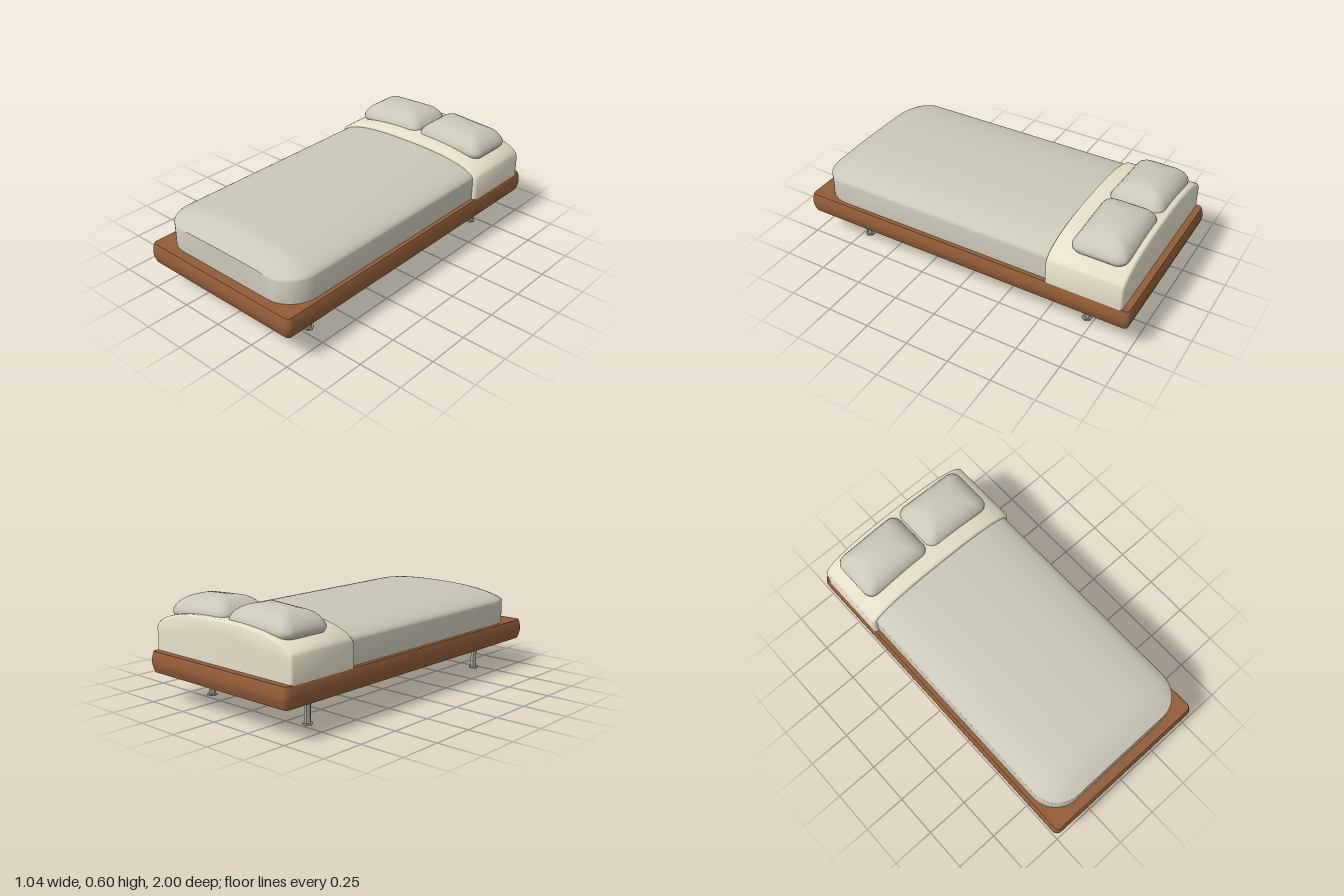
import * as THREE from 'three';
import { toCreasedNormals } from 'three/addons/utils/BufferGeometryUtils.js';

const material = (color) => new THREE.MeshStandardMaterial({ color });

// Skin a stack of equal-length point loops and cap both ends
function loft(rings, crease = 0.6) {
  const n = rings[0].length, last = (rings.length - 1) * n;
  const points = rings.flat();
  const index = [];
  for (let i = 0; i < rings.length - 1; i++) {
    for (let j = 0; j < n; j++) {
      const a = i * n + j, b = i * n + (j + 1) % n;
      index.push(a, a + n, b + n, a, b + n, b);
    }
  }
  const centre = (ring) => ring
    .reduce((s, p) => s.add(p), new THREE.Vector3()).divideScalar(n);
  points.push(centre(rings[0]), centre(rings[rings.length - 1]));
  for (let j = 0; j < n; j++) {
    const k = (j + 1) % n;
    index.push(points.length - 2, j, k, points.length - 1, last + k, last + j);
  }
  const geometry = new THREE.BufferGeometry().setFromPoints(points);
  geometry.setIndex(index);
  return toCreasedNormals(geometry, crease);
}

// Horizontal rounded rectangle at height y
function roundedLoop(hw, hd, r, y, seg = 5) {
  const loop = [];
  [[1, 1], [-1, 1], [-1, -1], [1, -1]].forEach(([sx, sz], q) => {
    for (let i = 0; i <= seg; i++) {
      const a = (q + i / seg) * Math.PI / 2;
      loop.push(new THREE.Vector3(
        sx * (hw - r) + r * Math.cos(a), y, sz * (hd - r) + r * Math.sin(a)));
    }
  });
  return loop;
}

// Upright section with straight sides and a domed top
function archSection(z, hw, bottom, edge, crown, seg = 32) {
  const loop = [new THREE.Vector3(-hw, bottom, z)];
  for (let i = 0; i <= seg; i++) {
    const u = -Math.cos(Math.PI * i / seg);
    const rise = Math.pow(Math.max(0, 1 - Math.pow(Math.abs(u), 2.5)), 0.55);
    loop.push(new THREE.Vector3(hw * u, edge + (crown - edge) * rise, z));
  }
  loop.push(new THREE.Vector3(hw, bottom, z));
  return loop;
}

// Bulging platform
function baseGeometry() {
  const profile = [[0.015, 0.162], [0.007, 0.184], [0.001, 0.206],
    [0, 0.222], [0.002, 0.24], [0.006, 0.26], [0.012, 0.276]];
  return loft(profile.map(([d, y]) => roundedLoop(0.518 - d, 1 - d, 0.035 - d, y)));
}

// Blanket with rounded foot corners and a sloping foot end
function blanketGeometry() {
  const r = 0.17, start = 0.765;
  const rings = [archSection(-0.6, 0.483, 0.27, 0.405, 0.49)];
  for (let i = 0; i <= 10; i++) {
    const a = (i / 10) * Math.PI / 2;
    const t = Math.sin(a);
    const crown = 0.415 + 0.075 * Math.sin((1 - t) * Math.PI / 2);
    rings.push(archSection(start + r * t, 0.483 - r * (1 - Math.cos(a)), 0.27, 0.405, crown));
  }
  return loft(rings);
}

// Folded sheet with softened ends
function sheetGeometry() {
  const ends = [[0, 0.012], [0.004, 0.004], [0.012, 0]];
  const section = (z, d) => archSection(z, 0.507 - d, 0.27, 0.4 - d, 0.512 - d);
  return loft([
    ...ends.map(([s, d]) => section(-0.952 + s, d)),
    ...ends.slice().reverse().map(([s, d]) => section(-0.522 - s, d)),
  ], 0.8);
}

// Cushion: flat below the seam, domed above it
function pillowGeometry() {
  const profile = [[0.03, -0.035], [0.01, -0.03], [0.001, -0.014], [0, -0.003],
    [0.004, 0.015], [0.014, 0.036], [0.028, 0.056], [0.045, 0.07],
    [0.07, 0.08], [0.1, 0.086], [0.13, 0.089], [0.15, 0.09]];
  return loft(profile.map(([d, y]) => {
    const loop = roundedLoop(0.217 - d, 0.153 - d, Math.max(0.055 - d * 0.4, 0.002), y, 6);
    if (d > 0.14) loop.forEach((p) => { p.z *= 0.5; });
    // bow the upper side down towards the ends
    loop.forEach((p) => { p.y -= 0.5 * p.x * p.x * THREE.MathUtils.clamp(y / 0.07, 0, 1); });
    return loop;
  }), 0.9);
}

export function createModel() {
  const bed = new THREE.Group();
  bed.name = 'bed';
  const wood = material(0x935d38);
  const linen = material(0xcbc7b8);
  const cream = material(0xe6dfca);
  const metal = material(0xaaa59c);

  const add = (parent, name, geometry, mat) => {
    const mesh = new THREE.Mesh(geometry, mat);
    mesh.name = name;
    parent.add(mesh);
    return mesh;
  };

  add(bed, 'base', baseGeometry(), wood);
  add(bed, 'blanket', blanketGeometry(), linen);
  add(bed, 'foldedSheet', sheetGeometry(), cream);

  // Pillows lean outwards over the curve of the sheet
  const pillow = pillowGeometry();
  for (const side of [1, -1]) {
    const mesh = add(bed, side > 0 ? 'leftPillow' : 'rightPillow', pillow, linen);
    mesh.position.set(side * 0.222, 0.505, -0.767);
    mesh.rotation.z = -side * 0.05;
  }

  // Hexagonal legs with wider feet
  const post = toCreasedNormals(new THREE.CylinderGeometry(0.018, 0.018, 0.165, 6), 0.3);
  const foot = toCreasedNormals(new THREE.CylinderGeometry(0.028, 0.028, 0.008, 6), 0.3);
  for (const x of [-0.365, 0.365]) {
    for (const z of [-0.71, 0.71]) {
      const leg = new THREE.Group();
      leg.name = (z > 0 ? 'front' : 'back') + (x > 0 ? 'Left' : 'Right') + 'Leg';
      add(leg, 'post', post, metal).position.y = 0.0865;
      add(leg, 'foot', foot, metal).position.y = 0.004;
      leg.position.set(x, 0, z);
      leg.rotation.y = Math.PI / 6;
      bed.add(leg);
    }
  }
  return bed;
}
